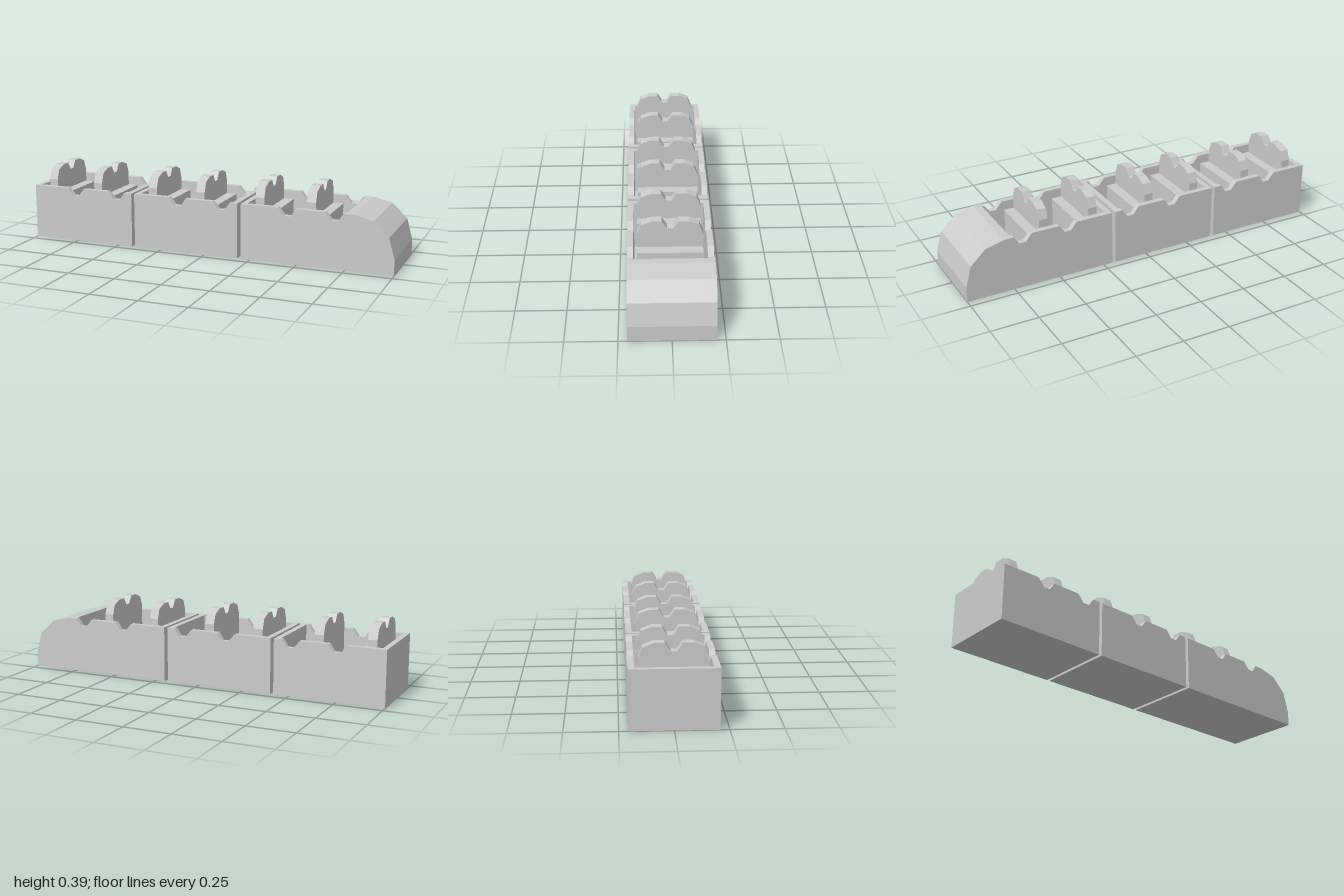
import * as THREE from 'three';

const HALF = 0.208;   // half width of a tray
const INNER = 0.178;  // half width of its cavity
const TOP = 0.29;     // rim height
const FLOOR = 0.03;   // floor thickness
const NOSE = [[0.79, TOP], [0.89, 0.265], [0.97, 0.19], [1, 0.08], [1, 0]];

const material = new THREE.MeshStandardMaterial({ color: 0xcccccc, flatShading: true });

function add(parent, name, geometry) {
  const mesh = new THREE.Mesh(geometry, material);
  mesh.name = name;
  parent.add(mesh);
  return mesh;
}

// Extrude an x-y outline between two z positions
function slab(points, z0, z1) {
  const shape = new THREE.Shape(points.map(([x, y]) => new THREE.Vector2(x, y)));
  return new THREE.ExtrudeGeometry(shape, { depth: z1 - z0, bevelEnabled: false }).translate(0, 0, z0);
}

const rect = (x0, x1, y0, y1) => [[x0, y0], [x1, y0], [x1, y1], [x0, y1]];

// Upright divider with rounded shoulders and a V-shaped gap, plus a low step beside it
function divider(x) {
  const group = new THREE.Group();
  group.name = 'divider';
  const half = [[0.16, FLOOR], [0.16, 0.32], [0.14, 0.372], [0.09, 0.392], [0.04, 0.392], [0.015, 0.352]];
  const outline = [...half, ...half.map(([z, y]) => [-z, y]).reverse()];
  const plate = slab(outline, 0, 0.048);
  plate.rotateY(Math.PI / 2);
  plate.translate(x, 0, 0);
  add(group, 'dividerPlate', plate);
  add(group, 'dividerStep', slab(rect(x + 0.048, x + 0.103, FLOOR, 0.25), -0.16, 0.16));
  return group;
}

// Open tray; the last one ends in a rounded nose
function tray(x0, hasNose) {
  const group = new THREE.Group();
  group.name = hasNose ? 'noseTray' : 'tray';
  const x1 = x0 + 0.582;
  const in0 = x0 + 0.028;
  const in1 = x0 + 0.552;

  // Side walls with two notches in the rim
  const rim = [[x0, 0], [x0, TOP]];
  for (const n of [0.2, 0.445]) {
    rim.push([x0 + n, TOP], [x0 + n + 0.033, 0.25], [x0 + n + 0.067, 0.25], [x0 + n + 0.095, TOP]);
  }
  rim.push(...(hasNose ? NOSE : [[x1, TOP], [x1, 0]]));
  add(group, 'frontWall', slab(rim, INNER, HALF));
  add(group, 'backWall', slab(rim, -HALF, -INNER));

  // Floor and end walls
  add(group, 'floor', slab(rect(in0, in1, 0, FLOOR), -INNER, INNER));
  add(group, 'endWall', slab(rect(x0, in0, 0, TOP), -INNER, INNER));
  const far = hasNose ? [[in1, 0], [in1, TOP], ...NOSE] : rect(in1, x1, 0, TOP);
  add(group, hasNose ? 'nose' : 'farEndWall', slab(far, -INNER, INNER));

  for (const d of [0.063, 0.336]) group.add(divider(x0 + d));
  return group;
}

export function createModel() {
  const model = new THREE.Group();
  model.name = 'trayRow';
  [-1, -0.401, 0.2].forEach((x, i) => model.add(tray(x, i === 2)));
  return model;
}
